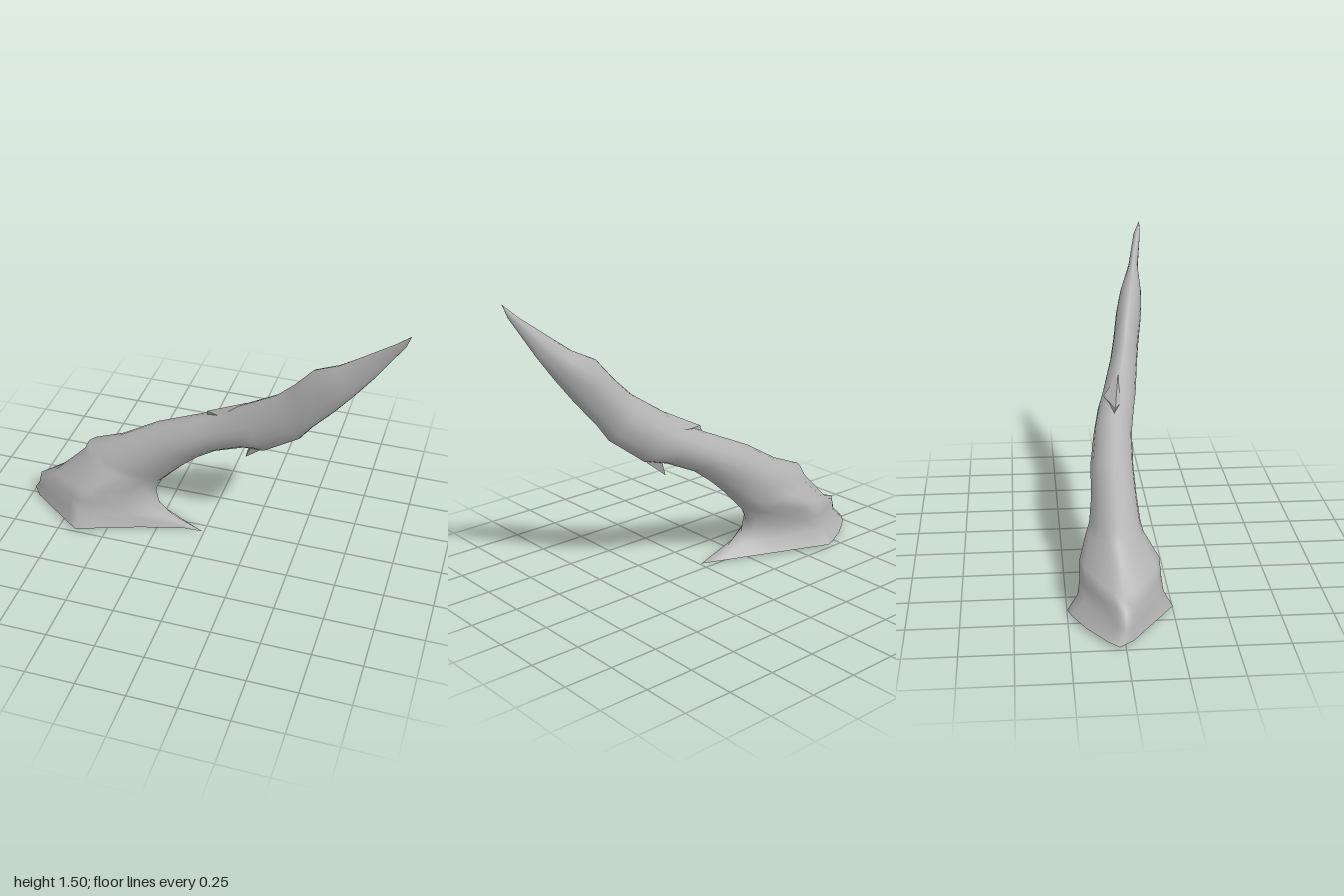
import * as THREE from 'three';

const SIDES = 16;

// One cross-section between an upper edge point and a lower edge point.
// f: where the widest spot lies, p: 1 = oval, 2 = diamond, lift: raises the sides,
// skew: moves the lower edge forward.
function ring([tx, ty, bx, by, z0, z1, f = 0.5, p = 1.1, lift = 0, skew = 0]) {
  const points = [];
  for (let j = 0; j < SIDES; j++) {
    const a = (j / SIDES) * Math.PI * 2;
    const shape = (v) => Math.sign(v) * Math.abs(v) ** p;
    const c = shape(Math.cos(a));
    const s = shape(Math.sin(a));
    const t = c > 0 ? f * (1 - c) : f - (1 - f) * c;
    points.push(new THREE.Vector3(
      tx + (bx - tx) * t,
      ty + (by - ty) * t + lift * Math.abs(s),
      (z0 + z1) / 2 + ((z1 - z0) / 2) * s + skew * Math.max(0, -c)
    ));
  }
  return points;
}

// Smooth open skin over a row of cross-sections
function loft(rings) {
  const index = [];
  for (let i = 0; i < rings.length - 1; i++) {
    for (let j = 0; j < SIDES; j++) {
      const k = (j + 1) % SIDES;
      const a = i * SIDES + j, b = i * SIDES + k;
      index.push(a, b, a + SIDES, b, b + SIDES, a + SIDES);
    }
  }
  const geometry = new THREE.BufferGeometry().setFromPoints(rings.flat());
  geometry.setIndex(index);
  geometry.computeVertexNormals();
  return geometry;
}

// Pointed wedge: tip, ridge end, two side corners and the foot below the tip
function wedge(tip, ridge, sideA, sideB, foot) {
  const corners = [tip, sideA, ridge, tip, ridge, sideB, tip, foot, sideA, tip, sideB, foot];
  const geometry = new THREE.BufferGeometry().setFromPoints(
    corners.map((c) => new THREE.Vector3(...c))
  );
  geometry.computeVertexNormals();
  return geometry;
}

export function createModel() {
  const group = new THREE.Group();
  group.name = 'curvedSpike';
  const grey = new THREE.MeshStandardMaterial({ color: 0xb4b4b4, side: THREE.DoubleSide });
  grey.name = 'grey';

  const add = (name, geometry) => {
    const mesh = new THREE.Mesh(geometry, grey);
    mesh.name = name;
    group.add(mesh);
  };

  // Flared root, stem and blade: upper x, y, lower x, y, back z, front z, ...
  const rings = [
    [-1.0, 0.015, -0.01, 0.0, -0.25, 0.25, 0.35, 2, 0.008],
    [-0.96, 0.07, -0.18, 0.06, -0.2, 0.205, 0.4, 1.8, 0.03, 0.03],
    [-0.94, 0.15, -0.26, 0.12, -0.19, 0.195, 0.45, 1.65, 0.03, 0.015],
    [-0.86, 0.18, -0.28, 0.19, -0.187, 0.19, 0.47, 1.45, 0.06],
    [-0.68, 0.36, -0.25, 0.25, -0.148, 0.125, 0.5, 1.2, 0.02],
    [-0.65, 0.42, -0.2, 0.305, -0.13, 0.115],
    [-0.48, 0.49, -0.12, 0.39, -0.112, 0.108],
    [-0.28, 0.61, -0.03, 0.47, -0.107, 0.105],
    [0.0, 0.74, 0.06, 0.54, -0.077, 0.115],
    [0.12, 0.81, 0.22, 0.615, -0.047, 0.138],
    [0.22, 0.88, 0.33, 0.64, -0.015, 0.157, 0.5, 1.1, 0, 0.01],
    [0.38, 0.99, 0.51, 0.78, 0.038, 0.18, 0.5, 1.1, 0, 0.02],
    [0.47, 1.08, 0.57, 0.87, 0.06, 0.193, 0.5, 1.1, 0, 0.02],
    [0.56, 1.19, 0.67, 0.99, 0.082, 0.215, 0.5, 1.1, 0, 0.02],
    [0.68, 1.25, 0.76, 1.11, 0.113, 0.225, 0.5, 1.1, 0, 0.02],
    [0.8, 1.34, 0.85, 1.235, 0.165, 0.216, 0.5, 1.1, 0, 0.01],
    [0.93, 1.44, 0.98, 1.44, 0.205, 0.24],
    [1.0, 1.505, 1.0, 1.505, 0.24, 0.24],
  ].map(ring);
  // The root's rim bulges back at its outer end and turns forward at its toe
  [
    [0, -0.03], [13, -0.02], [14, -0.045], [15, -0.045],
    [7, 0.02], [8, 0.05], [9, 0.043], [10, 0.025], [11, 0.007],
  ].forEach(([j, d]) => { rings[0][j].z += d; });
  add('spike', loft(rings));

  // Barbs on the upper and lower edges
  add('upperBarb', wedge(
    [0.01, 0.77, 0.03], [0.22, 0.88, 0.06], [0.14, 0.78, 0.09], [0.15, 0.79, -0.02], [0.01, 0.73, 0.02]
  ));
  add('lowerBarb', wedge(
    [0.22, 0.55, 0.055], [0.33, 0.64, 0.065], [0.28, 0.69, 0.03], [0.27, 0.68, 0.1], [0.24, 0.63, 0.06]
  ));

  return group;
}
